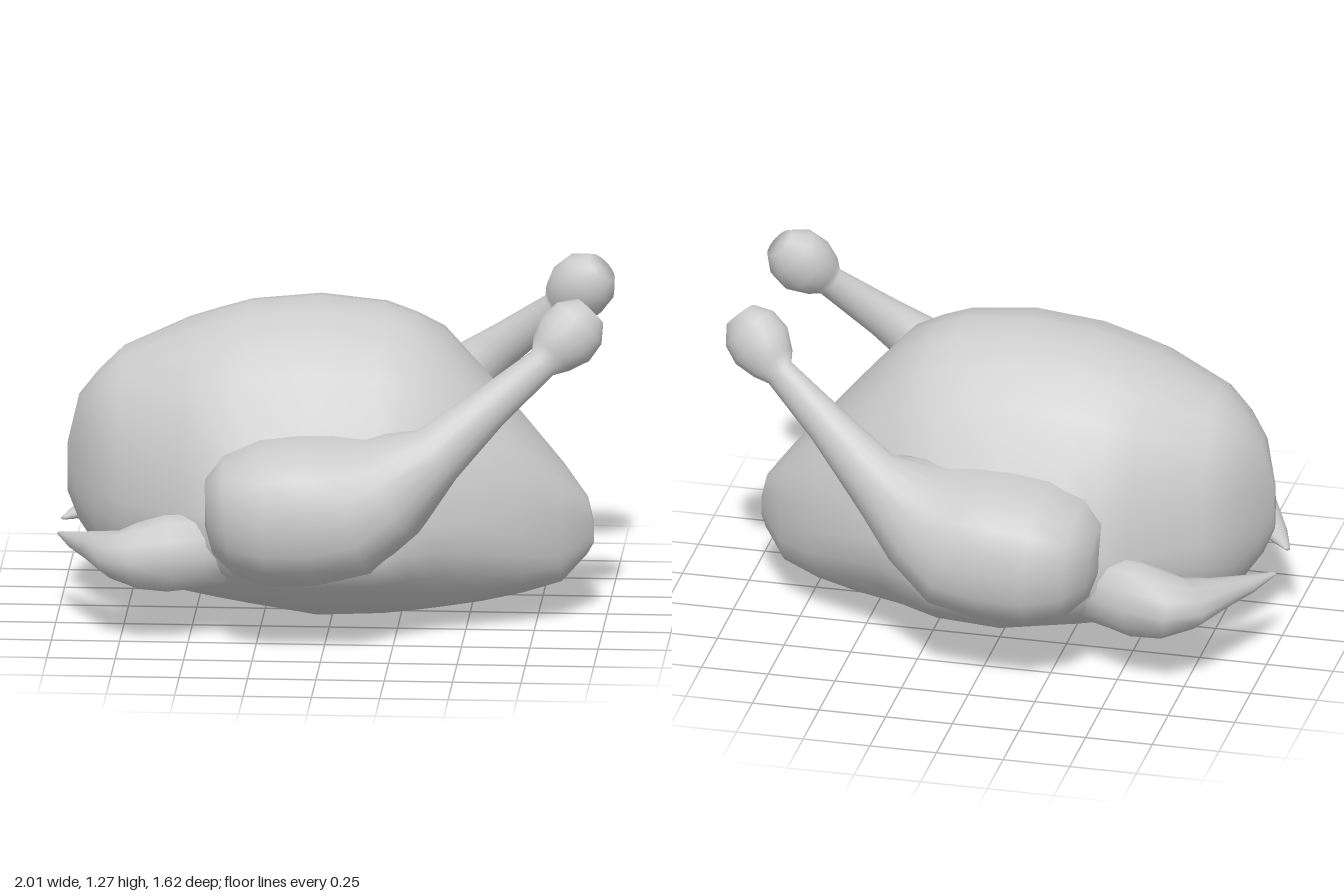
import * as THREE from 'three';

const material = new THREE.MeshStandardMaterial({ color: 0xcccccc });
const power = (v, p) => Math.sign(v) * Math.abs(v) ** p;

// Closed smooth skin over a list of rings (arrays of Vector3), ends capped
function skin(name, rings) {
  const n = rings[0].length;
  const pos = [], index = [];
  rings.forEach(r => r.forEach(p => pos.push(p.x, p.y, p.z)));
  for (let i = 0; i < rings.length - 1; i++) {
    for (let j = 0; j < n; j++) {
      const k = (j + 1) % n;
      const a = i * n + j, b = i * n + k;
      index.push(a, b, b + n, a, b + n, a + n);
    }
  }
  [0, rings.length - 1].forEach((i, end) => {
    const c = new THREE.Vector3();
    rings[i].forEach(p => c.addScaledVector(p, 1 / n));
    const tip = pos.length / 3;
    pos.push(c.x, c.y, c.z);
    for (let j = 0; j < n; j++) {
      const a = i * n + j, b = i * n + (j + 1) % n;
      end ? index.push(tip, a, b) : index.push(tip, b, a);
    }
  });
  const g = new THREE.BufferGeometry();
  g.setAttribute('position', new THREE.Float32BufferAttribute(pos, 3));
  g.setIndex(index);
  g.computeVertexNormals();
  const mesh = new THREE.Mesh(g, material);
  mesh.name = name;
  return mesh;
}

// Limb: rows of [x, y, z, radius along ref, radius across, squareness power], rings square to the path
function limb(name, rows, ref, side, n = 20) {
  const c = rows.map(r => new THREE.Vector3(r[0], r[1], r[2] * side));
  const rings = rows.map(([, , , along, across, p = 1], i) => {
    const t = c[Math.min(i + 1, c.length - 1)].clone().sub(c[Math.max(i - 1, 0)]).normalize();
    const b = ref.clone().addScaledVector(t, -ref.dot(t)).normalize();
    const a = t.clone().cross(b);
    return Array.from({ length: n }, (_, j) => {
      const q = j / n * Math.PI * 2;
      return c[i].clone()
        .addScaledVector(b, power(Math.cos(q), p) * along)
        .addScaledVector(a, power(Math.sin(q), p) * across);
    });
  });
  return skin(name, rings);
}

// Body sections: [x, bottom, widest height, top, half width, hip swell, squareness power]
const BODY = [
  [-0.972, 0.43, 0.53, 0.62, 0.015, 0, 1],
  [-0.93, 0.33, 0.52, 0.8, 0.11, 0, 0.9],
  [-0.86, 0.23, 0.5, 0.89, 0.22, 0, 0.9],
  [-0.77, 0.155, 0.48, 0.98, 0.31, 0, 0.95],
  [-0.53, 0.08, 0.48, 1.09, 0.45, 0.03, 1],
  [-0.42, 0.06, 0.48, 1.125, 0.475, 0.09, 1],
  [-0.3, 0.04, 0.49, 1.16, 0.49, 0.16, 1],
  [-0.05, 0, 0.49, 1.185, 0.5, 0.21, 1],
  [0.19, 0.01, 0.48, 1.16, 0.49, 0.18, 1],
  [0.3, 0.022, 0.47, 1.12, 0.475, 0.11, 1],
  [0.4, 0.035, 0.45, 1.07, 0.455, 0.04, 1],
  [0.55, 0.06, 0.42, 0.9, 0.405, 0, 0.95],
  [0.7, 0.095, 0.38, 0.72, 0.315, 0, 0.85],
  [0.84, 0.135, 0.34, 0.555, 0.19, 0, 0.75],
  [0.93, 0.23, 0.34, 0.44, 0.055, 0, 0.75],
  [0.952, 0.27, 0.31, 0.35, 0.01, 0, 0.8],
];

// Fat thigh, thin shank and knuckle
const LEG = [
  [-0.435, 0.48, 0.5, 0.04, 0.05],
  [-0.42, 0.48, 0.5, 0.14, 0.14, 0.9],
  [-0.35, 0.49, 0.5, 0.25, 0.215, 0.87],
  [-0.22, 0.5, 0.5, 0.31, 0.265, 0.85],
  [-0.06, 0.51, 0.495, 0.316, 0.275, 0.85],
  [0.1, 0.535, 0.49, 0.315, 0.26, 0.85],
  [0.25, 0.605, 0.49, 0.245, 0.195, 0.9],
  [0.41, 0.732, 0.53, 0.1, 0.115],
  [0.6, 0.895, 0.46, 0.07, 0.08],
  [0.79, 1.05, 0.395, 0.045, 0.06],
  [0.82, 1.08, 0.38, 0.075, 0.09],
  [0.87, 1.13, 0.35, 0.1, 0.12],
  [0.92, 1.185, 0.33, 0.09, 0.112],
  [0.96, 1.225, 0.31, 0.05, 0.065],
];

// Folded wing running out to a pointed tip
const WING = [
  [-0.38, 0.32, 0.41, 0.12, 0.12],
  [-0.48, 0.33, 0.45, 0.14, 0.11],
  [-0.58, 0.335, 0.5, 0.145, 0.12],
  [-0.67, 0.325, 0.5, 0.125, 0.135],
  [-0.75, 0.315, 0.45, 0.09, 0.12],
  [-0.835, 0.315, 0.355, 0.06, 0.075],
  [-0.92, 0.305, 0.23, 0.035, 0.045],
  [-0.995, 0.3, 0.105, 0.006, 0.01],
];

export function createModel() {
  const model = new THREE.Group();
  model.name = 'roastBird';

  // Body, swelling low at the sides so that it flows into the thighs
  const sides = 24;
  const rings = BODY.map(([x, low, mid, top, w, swell, p]) => Array.from({ length: sides }, (_, j) => {
    const q = j / sides * Math.PI * 2, h = power(Math.cos(q), p), s = power(Math.sin(q), p);
    const angle = Math.acos(Math.cos(q)) * 180 / Math.PI;
    const hip = swell * Math.exp(-(((angle - 110) / 32) ** 2)) * Math.sign(s);
    return new THREE.Vector3(x, mid + h * (h > 0 ? top - mid : mid - low), s * w + hip);
  }));
  model.add(skin('body', rings));

  const up = new THREE.Vector3(0, 1, 0), out = new THREE.Vector3(0, 0, 1);
  for (const side of [1, -1]) {
    const label = side > 0 ? 'front' : 'back';
    model.add(limb(label + 'Leg', LEG, out, side));
    model.add(limb(label + 'Wing', WING, up, side, 12));
  }
  return model;
}
